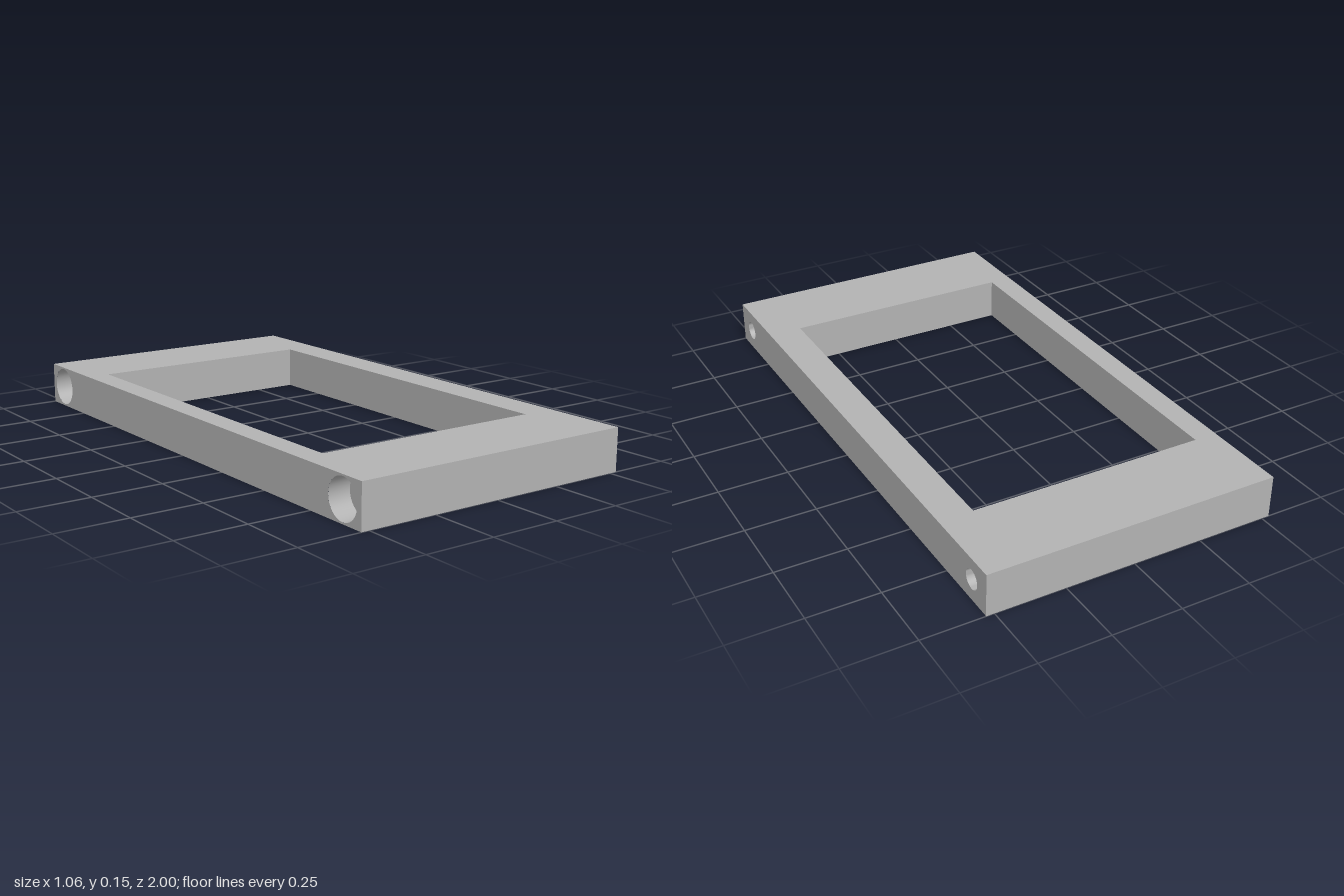
import * as THREE from 'three';
import { mergeGeometries, toCreasedNormals } from 'three/addons/utils/BufferGeometryUtils.js';

const W = 0.528, L = 1, H = 0.152;            // half width, half length, height
const X0 = -0.444, X1 = 0.406, Z = 0.697;     // window opening
const HOLE_Z = 0.91, HOLE_Y = 0.076;
const BORE_R = 0.035, HEAD_R = 0.07, HEAD_DEPTH = 0.08;
const SEG = 32;

function rect(Shape, x0, y0, x1, y1) {
  const s = new Shape();
  s.moveTo(x0, y0);
  s.lineTo(x1, y0);
  s.lineTo(x1, y1);
  s.lineTo(x0, y1);
  s.closePath();
  return s;
}

// Long side panel with a round hole near each end
function sidePanel(radius) {
  const s = rect(THREE.Shape, -L, 0, L, H);
  for (const z of [-HOLE_Z, HOLE_Z]) {
    const hole = new THREE.Path();
    hole.absarc(z, HOLE_Y, radius, 0, Math.PI * 2, true);
    s.holes.push(hole);
  }
  return new THREE.ShapeGeometry(s, SEG);
}

// Upright wall, turned about y
function wall(width, turn, x, z) {
  return new THREE.PlaneGeometry(width, H).rotateY(turn).translate(x, H / 2, z);
}

export function createModel() {
  const group = new THREE.Group();
  const grey = new THREE.MeshStandardMaterial({ color: 0xb2b2b2 });
  grey.name = 'grey';
  const add = (name, geometry) => {
    const mesh = new THREE.Mesh(geometry, grey);
    mesh.name = name;
    group.add(mesh);
    return mesh;
  };

  // Top and bottom of the frame
  const plan = rect(THREE.Shape, -W, -L, W, L);
  plan.holes.push(rect(THREE.Path, X0, -Z, X1, Z));
  add('frameTop', new THREE.ShapeGeometry(plan).rotateX(-Math.PI / 2).translate(0, H, 0));
  add('frameBottom', new THREE.ShapeGeometry(plan).rotateX(Math.PI / 2));

  // Short outer ends
  add('frontEnd', wall(2 * W, 0, 0, L));
  add('backEnd', wall(2 * W, Math.PI, 0, -L));

  // Long sides: narrow hole exits on one, wide screw head recesses on the other
  add('boltExitSide', sidePanel(BORE_R).rotateY(Math.PI / 2).translate(W, 0, 0));
  add('boltHeadSide', sidePanel(HEAD_R).rotateY(-Math.PI / 2).translate(-W, 0, 0));

  // Walls of the window opening
  const midX = (X0 + X1) / 2;
  add('windowWalls', mergeGeometries([
    wall(2 * Z, Math.PI / 2, X0, 0),
    wall(2 * Z, -Math.PI / 2, X1, 0),
    wall(X1 - X0, 0, midX, -Z),
    wall(X1 - X0, Math.PI, midX, Z),
  ]));

  // Stepped bolt bores running across both end bars
  const profile = [
    [BORE_R, 2 * W], [BORE_R, HEAD_DEPTH], [HEAD_R, HEAD_DEPTH], [HEAD_R, 0],
  ].map(([r, y]) => new THREE.Vector2(r, y));
  const bore = toCreasedNormals(new THREE.LatheGeometry(profile, SEG), 0.6)
    .rotateZ(-Math.PI / 2);
  for (const [name, z] of [['frontBore', HOLE_Z], ['backBore', -HOLE_Z]]) {
    add(name, bore).position.set(-W, HOLE_Y, z);
  }

  return group;
}
